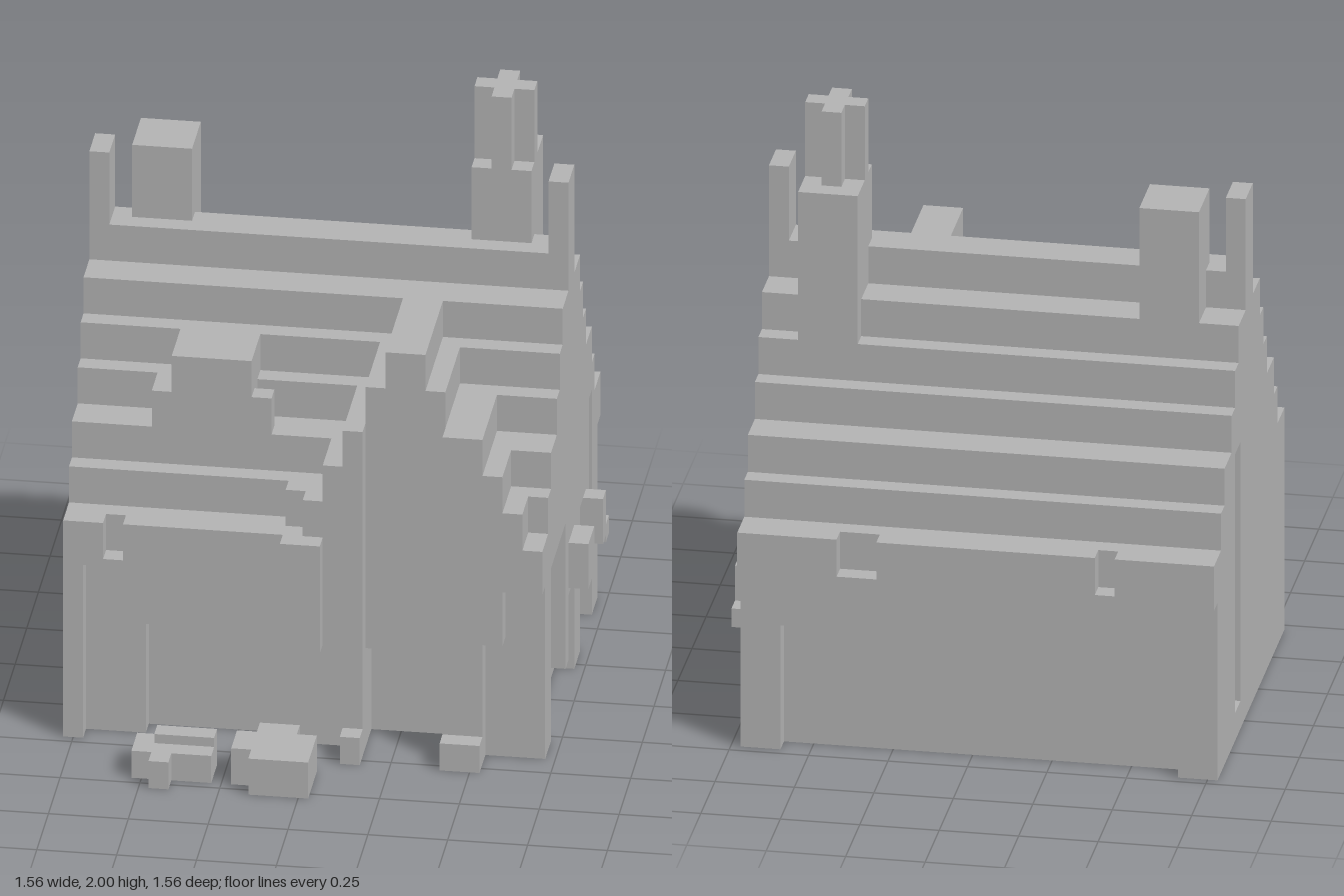
import * as THREE from 'three';

const U = 1 / 16; // one block
const OFF = 12.5; // blocks from the corner to the centre

export function createModel() {
  const model = new THREE.Group();
  const stone = new THREE.MeshStandardMaterial({ color: 0xb4b4b4 });
  stone.name = 'stone grey';

  function add(name, geometry) {
    const mesh = new THREE.Mesh(geometry, stone);
    mesh.name = name;
    model.add(mesh);
  }

  // Box given by its limits in blocks
  function box(name, x0, x1, y0, y1, z0, z1) {
    const g = new THREE.BoxGeometry((x1 - x0) * U, (y1 - y0) * U, (z1 - z0) * U);
    g.translate(((x0 + x1) / 2 - OFF) * U, ((y0 + y1) / 2) * U, ((z0 + z1) / 2 - OFF) * U);
    add(name, g);
  }

  // Outline in (z, y), extruded from x0 to x1
  function slab(name, x0, x1, points, hole) {
    const toVec = ([z, y]) => new THREE.Vector2((z - OFF) * U, y * U);
    const shape = new THREE.Shape(points.map(toVec));
    if (hole) shape.holes.push(new THREE.Path(hole.map(toVec)));
    const g = new THREE.ExtrudeGeometry(shape, { depth: (x1 - x0) * U, bevelEnabled: false });
    g.rotateY(-Math.PI / 2);
    g.translate((x1 - OFF) * U, 0, 0);
    add(name, g);
  }

  // Stepped roof line from front to back, above the eaves
  const steps = [
    [18, 12], [18, 14], [17, 14], [17, 16], [15, 16], [15, 18], [14, 18], [14, 20], [13, 20], [13, 22],
    [11, 22], [11, 24], [9, 24], [9, 22], [7, 22], [7, 20], [6, 20], [6, 18], [5, 18], [5, 16],
    [3, 16], [3, 14], [2, 14], [2, 12],
  ];
  const E = 9.6; // underside of the eaves

  // Roof and gable ends
  slab('roof', 1, 23, [[18, E], ...steps, [1, 12], [1, E]]);
  slab('leftGable', 0, 1, [[20, 0], [20, 12], ...steps, [0, 12], [0, E], [1, E], [1, 0]],
    [[6, 1.5], [7.5, 1.5], [7.5, 15.5], [6, 15.5]]);
  slab('rightGable', 23, 24, [
    [19, 0], [19, E], [20, E], [20, 12], ...steps, [0, 12], [0, E], [1, E], [1, 0],
    [3, 0], [3, 12.5], [4, 12.5], [4, 6.1], [5, 6.1], [5, 8], [7, 8], [7, 0],
    [9, 0], [9, 5.1], [11, 5.1], [11, 1.5], [12, 1.5], [12, E], [17, E], [17, 0],
  ]);

  // Walls
  box('core', 1, 23, 0, E, 2, 17);
  box('frontWallLeft', 1, 15, 0, E, 17, 18);
  box('frontWallRight', 19, 23, 0, E, 17, 19);
  box('doorSideLeft', 1, 4, 0, E, 18, 19);
  box('doorSideRight', 10, 15, 0, E, 18, 19);
  box('doorHead', 4, 10, 6.05, E, 18, 19);
  box('backLintel', 1, 23, 6.7, E, 1, 2);
  for (const x of [1, 22]) box('backPillar', x, x + 1, 0, 6.7, 1, 2);

  // Eaves with small gaps
  box('backEaveBase', 1, 23, E, 10, 0, 1);
  for (const [a, b] of [[1, 5], [6, 17], [19, 23]]) box('backEave', a, b, 10, 12, 0, 1);
  box('frontEave', 1, 13, E, 12, 18, 19);
  box('frontEaveEdge', 1, 2, E, 12, 19, 20);
  box('frontEaveGap', 2, 3, E, 10, 19, 20);
  box('frontEaveEdge', 3, 11, E, 12, 19, 20);

  // Dormer over the door
  box('dormer', 5, 9, 15, 20, 13, 17);
  box('dormerSide', 4, 5, 15, 18, 13, 17);
  box('dormerStub', 9, 10, 15, 18, 16, 17);

  // Large front gable: x range, underside, top
  for (const [a, b, y0, y1] of [[13, 14, 4.6, 16], [14, 15, 0, 18], [19, 21, 0, 18], [21, 22, 6.6, 16], [22, 23, E, 14]]) {
    box('frontGableStep', a, b, Math.max(y0, E), y1, 12, 20);
    if (y0 < E) box('frontGableWall', a, b, y0, E, 19, 20);
  }
  box('frontGableMiddle', 15, 19, 5.5, 20, 12, 19);
  box('frontGableRidge', 16, 18, 20, 22, 12, 19);
  box('frontBracket', 11, 13, 6.05, 12, 19, 21);
  box('bracketStep', 11, 12, 12, 14, 17, 19);
  box('bracketStep', 12, 13, 12, 14, 17, 20);
  box('leftFoot', 14, 15, 0, 1.5, 20, 21);
  box('rightFoot', 19, 21, 0, 1.5, 20, 21);

  // Chimneys
  for (const x of [0, 23]) box('gablePost', x, x + 1, 23, 28, 9, 11);
  box('wideChimney', 2, 5, 21, 28, 7, 10);
  box('tallChimney', 19, 22, 17, 28, 6, 10);
  box('chimneyPot', 19, 22, 28, 32, 8, 9);
  box('chimneyPot', 20, 21, 28, 32, 7, 10);

  // Ledges on the right wall
  box('sideLedge', 24, 25, 5.5, 8, 9, 11);
  box('sideLedge', 24, 25, 5.5, 8, 5, 6);
  box('sideLedge', 23, 24, 5.1, 8, 5, 6);
  box('sideLedgeLow', 23, 25, 5.1, 6.1, 4, 5);

  // Stones in front of the house
  box('stone', 4, 5, 0, 1.5, 22, 24);
  box('stone', 5, 8, 0, 2, 22, 23);
  box('stone', 5, 8, 0, 1.5, 23, 24);
  box('stone', 5, 6, 0, 1.5, 24, 25);
  box('doorstep', 9, 13, 0, 2, 22, 24);
  box('doorstep', 10, 13, 0, 2, 24, 25);
  box('doorstep', 10, 12, 0, 2, 21, 22);
  return model;
}
